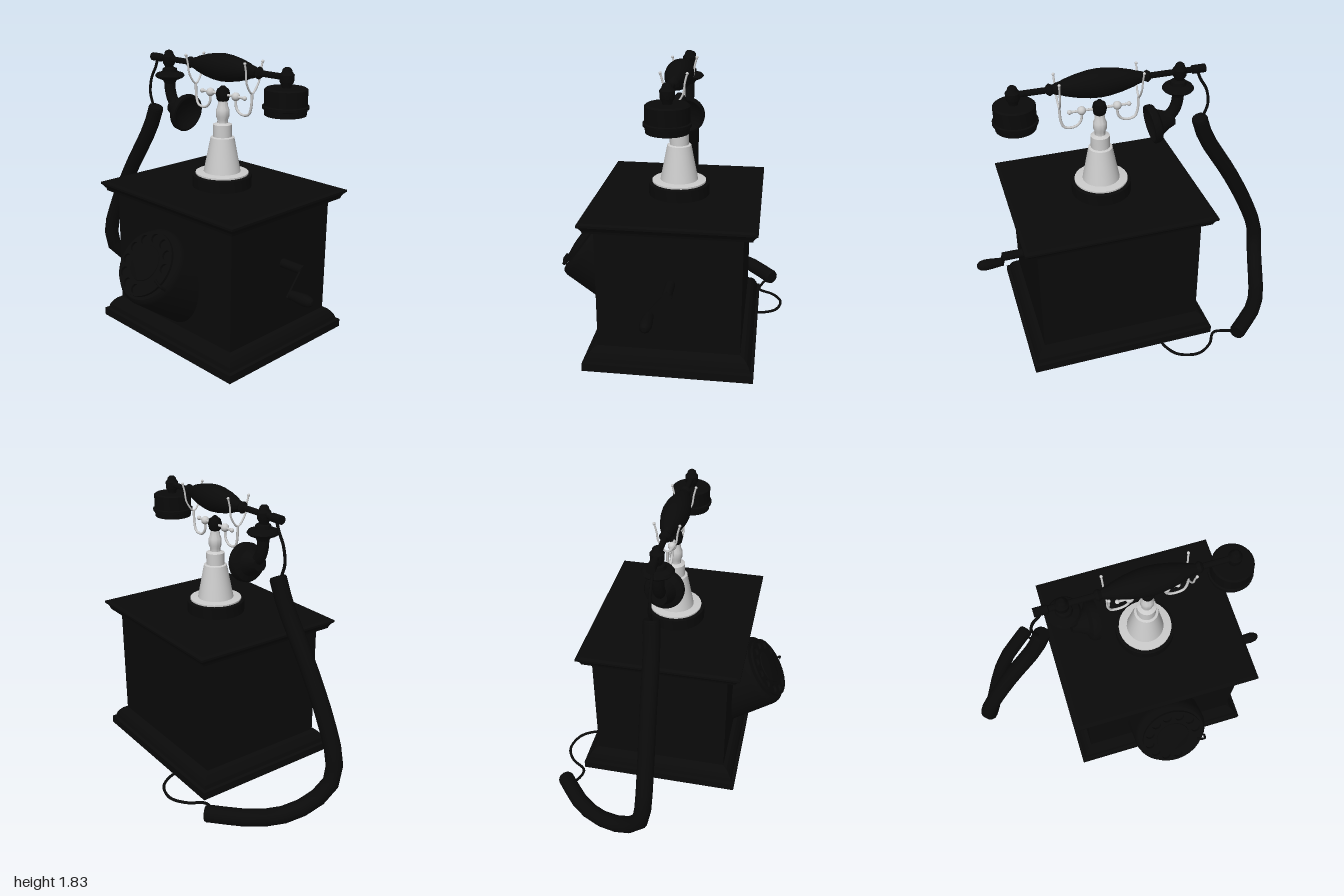
import * as THREE from 'three';
import { toCreasedNormals } from 'three/addons/utils/BufferGeometryUtils.js';

const black = new THREE.MeshStandardMaterial({ color: 0x0a0a0a });
const silver = new THREE.MeshStandardMaterial({ color: 0xcccccc });
const CX = 0.18, CZ = -0.04; // centre of the cabinet

export function createModel() {
  const root = new THREE.Group();
  root.name = 'antiqueTelephone';

  const add = (name, geo, mat = black, pos = [0, 0, 0], parent = root) => {
    const m = new THREE.Mesh(geo, mat);
    m.name = name;
    m.position.set(...pos);
    parent.add(m);
    return m;
  };
  // Turned part: pairs of [radius, height], bottom to top
  const turned = (pts, sides = 28) => toCreasedNormals(
    new THREE.LatheGeometry(pts.map(p => new THREE.Vector2(...p)), sides), 0.6);
  const tube = (pts, r, segs = 32, sides = 8) => new THREE.TubeGeometry(
    new THREE.CatmullRomCurve3(pts.map(p => new THREE.Vector3(...p))), segs, r, sides);
  const ball = r => new THREE.SphereGeometry(r, 16, 12);

  // Rectangular moulding: rows of [outward offset, height] around the cabinet plan
  const moulding = rows => {
    const hx = 0.505, hz = 0.425, v = [];
    const corner = ([o, y], k) => {
      const sx = [1, 1, -1, -1][k % 4], sz = [1, -1, -1, 1][k % 4];
      return [sx * (hx + o), y, sz * (hz + o)];
    };
    const quad = (a, b, c, d) => v.push(...a, ...b, ...c, ...a, ...c, ...d);
    for (let i = 0; i < rows.length - 1; i++)
      for (let k = 0; k < 4; k++)
        quad(corner(rows[i], k), corner(rows[i], k + 1), corner(rows[i + 1], k + 1), corner(rows[i + 1], k));
    const lo = rows[0], hi = rows[rows.length - 1];
    quad(corner(hi, 0), corner(hi, 1), corner(hi, 2), corner(hi, 3));
    quad(corner(lo, 3), corner(lo, 2), corner(lo, 1), corner(lo, 0));
    const g = new THREE.BufferGeometry();
    g.setAttribute('position', new THREE.Float32BufferAttribute(v, 3));
    g.computeVertexNormals();
    return g;
  };

  // Cabinet
  add('cabinetBody', moulding([[0, 0.18], [0, 0.97]]), black, [CX, 0, CZ]);
  add('baseMoulding', moulding([[0.083, 0.07], [0.083, 0.12], [0.065, 0.125], [0.058, 0.15],
    [0.043, 0.175], [0.025, 0.195], [0, 0.205]]), black, [CX, 0, CZ]);
  add('topMoulding', moulding([[0.01, 0.95], [0.052, 0.95], [0.056, 0.965], [0.07, 0.985],
    [0.08, 0.992], [0.08, 1.005], [0.06, 1.012]]), black, [CX, 0, CZ]);
  for (const x of [-0.28, 0.645])
    for (const z of [-0.405, 0.335])
      add('foot', new THREE.CylinderGeometry(0.031, 0.021, 0.08, 12), black, [x, 0.04, z]);

  // Pedestal
  add('pedestalPlinth', turned([[0, 1], [0.185, 1], [0.185, 1.085], [0.178, 1.09], [0, 1.09]], 32), black, [CX, 0, CZ]);
  add('pedestalColumn', turned([[0, 1.085], [0.165, 1.085], [0.165, 1.1], [0.115, 1.105], [0.073, 1.32],
    [0.058, 1.325], [0.058, 1.4], [0.033, 1.41], [0.033, 1.43], [0.041, 1.45], [0.041, 1.49],
    [0.032, 1.51], [0.028, 1.545], [0, 1.545]]), silver, [CX, 0, CZ]);
  add('pedestalHub', turned([[0, 1.535], [0.02, 1.535], [0.036, 1.55], [0.044, 1.585], [0.036, 1.615],
    [0.02, 1.625], [0.012, 1.635], [0, 1.637]], 16), black, [CX, 0, CZ]);

  // Cradle arms with forks, mirrored about the pedestal
  for (const s of [-1, 1]) {
    const arm = new THREE.Group();
    arm.name = 'cradleArm';
    arm.position.set(CX, 0, CZ);
    root.add(arm);
    add('armRod', tube([[s * 0.03, 1.583, 0], [s * 0.18, 1.583, 0]], 0.008, 2), silver, [0, 0, 0], arm);
    add('armBall', ball(0.026), silver, [s * 0.108, 1.583, 0], arm);
    add('armTip', ball(0.014), silver, [s * 0.18, 1.583, 0], arm);
    add('armHook', tube([[s * 0.108, 1.575, 0], [s * 0.113, 1.52, 0], [s * 0.14, 1.49, 0], [s * 0.18, 1.482, 0],
      [s * 0.217, 1.495, 0], [s * 0.234, 1.54, 0], [s * 0.239, 1.62, 0]], 0.008), silver, [0, 0, 0], arm);
    add('fork', tube([[s * 0.247, 1.8, -0.075], [s * 0.245, 1.75, -0.062], [s * 0.242, 1.68, -0.05],
      [s * 0.239, 1.62, 0], [s * 0.242, 1.68, 0.05], [s * 0.245, 1.75, 0.062], [s * 0.247, 1.8, 0.075]], 0.006, 40),
      silver, [0, 0, 0], arm);
    for (const z of [-0.075, 0.075]) add('forkTip', ball(0.009), silver, [s * 0.247, 1.8, z], arm);
  }

  // Handset
  const handset = new THREE.Group();
  handset.name = 'handset';
  handset.position.set(0, 1.745, CZ);
  root.add(handset);
  const half = [[0.018, 0.50], [0.018, 0.31], [0.026, 0.305], [0.036, 0.29], [0.026, 0.27], [0.033, 0.255],
    [0.04, 0.225], [0.05, 0.2], [0.068, 0.13], [0.08, 0.06]];
  const grip = turned([[0, -0.5], ...half.map(([r, y]) => [r, -y]), [0.084, 0],
    ...half.slice().reverse(), [0, 0.5]]);
  add('handsetGrip', grip.rotateZ(-Math.PI / 2), black, [CX, 0, 0], handset);
  const socket = turned([[0, -0.47], [0.026, -0.47], [0.026, -0.39], [0.018, -0.385], [0.018, -0.3], [0, -0.3]], 14);
  add('cordSocket', socket.rotateZ(-Math.PI / 2), black, [0, 0, 0], handset);
  const joint = () => turned([[0, -0.065], [0.026, -0.065], [0.028, -0.045], [0.04, -0.025], [0.042, 0.015],
    [0.03, 0.03], [0.026, 0.045], [0.015, 0.055], [0, 0.055]], 16);
  add('mouthpieceJoint', joint(), black, [-0.312, 0, 0], handset);
  add('earpieceJoint', joint(), black, [0.677, 0, 0], handset);
  add('earpiece', turned([[0, -0.195], [0.05, -0.195], [0.085, -0.21], [0.118, -0.21], [0.122, -0.175],
    [0.132, -0.172], [0.132, -0.157], [0.122, -0.153], [0.122, -0.065], [0.112, -0.057], [0, -0.057]], 32),
    black, [0.675, 0, 0], handset);
  add('mouthpieceFlange', turned([[0, -0.16], [0.035, -0.155], [0.045, -0.135], [0.085, -0.118], [0.096, -0.105],
    [0.085, -0.09], [0.05, -0.08], [0.045, -0.06], [0.025, -0.05], [0, -0.05]]), black, [-0.305, 0, 0], handset);
  add('mouthpieceElbow', tube([[-0.308, -0.12, 0], [-0.302, -0.2, 0], [-0.277, -0.26, 0], [-0.22, -0.31, 0]], 0.036, 14, 14),
    black, [0, 0, 0], handset);
  const horn = turned([[0, -0.15], [0.045, -0.15], [0.06, -0.1], [0.08, -0.06], [0.112, -0.045], [0.12, -0.03],
    [0.12, 0], [0.108, 0.003], [0.085, -0.02], [0.05, -0.04], [0, -0.045]], 32);
  add('mouthpieceHorn', horn.rotateZ(-Math.PI / 2 - 0.17), black, [-0.133, -0.328, 0], handset);

  // Dial housing, tilted up towards the user
  const dial = new THREE.Group();
  dial.name = 'dial';
  dial.position.set(0.185, 0.65, 0.57);
  dial.rotation.x = 0.94;
  root.add(dial);
  add('dialHousing', turned([[0, -0.45], [0.237, -0.45], [0.237, -0.035], [0.23, -0.01], [0.215, 0.004],
    [0, 0.012]], 40), black, [0, 0, 0], dial);
  const plate = new THREE.Shape().absarc(0, 0, 0.2, 0, Math.PI * 2);
  for (let i = 0; i < 10; i++) {
    const a = 0.1 + i * Math.PI / 6;
    plate.holes.push(new THREE.Path().absarc(0.158 * Math.cos(a), 0.158 * Math.sin(a), 0.028, 0, Math.PI * 2, true));
  }
  const plateGeo = new THREE.ExtrudeGeometry(plate, { depth: 0.016, bevelEnabled: false, curveSegments: 20 });
  add('fingerWheel', plateGeo.rotateX(-Math.PI / 2), black, [0, 0.016, 0], dial);
  add('dialCentre', turned([[0.11, 0], [0.108, 0.006], [0.06, 0.013], [0, 0.015]]), black, [0, 0.032, 0], dial);
  add('fingerStop', tube([[0.215, 0, 0.09], [0.205, 0.04, 0.085], [0.15, 0.045, 0.065]], 0.008, 8, 6),
    black, [0, 0, 0], dial);

  // Side crank
  const rod = (name, r, len, x, y, z) =>
    add(name, new THREE.CylinderGeometry(r, r, len, 16).rotateZ(Math.PI / 2), black, [x, y, z]);
  rod('crankShaft', 0.028, 0.16, 0.76, 0.637, -0.055);
  const crankArm = add('crankArm', new THREE.BoxGeometry(0.012, 0.21, 0.045), black, [0.836, 0.574, -0.005]);
  crankArm.rotation.x = -0.65 + Math.PI;
  crankArm.rotation.x = Math.atan2(-0.1, 0.122);
  const knob = turned([[0, 0], [0.027, 0], [0.03, 0.03], [0.034, 0.07], [0.036, 0.11], [0.03, 0.142], [0.015, 0.16], [0, 0.163]], 16);
  add('crankKnob', knob.rotateZ(-Math.PI / 2), black, [0.837, 0.515, 0.045]);

  // Cord: thick sleeve with thin wire at both ends
  const sleeve = [[-0.455, 1.405, -0.045], [-0.51, 1.26, -0.035], [-0.71, 0.93, -0.015], [-0.87, 0.62, 0],
    [-0.945, 0.42, 0], [-0.949, 0.29, -0.02], [-0.915, 0.18, -0.13], [-0.85, 0.12, -0.3],
    [-0.76, 0.112, -0.45], [-0.56, 0.103, -0.63]];
  add('cordSleeve', tube(sleeve, 0.051, 18, 12));
  for (const [end, next] of [[sleeve[0], sleeve[1]], [sleeve[9], sleeve[8]]]) {
    const dir = new THREE.Vector3(...end).sub(new THREE.Vector3(...next)).normalize();
    const cap = add('sleeveCap', new THREE.CylinderGeometry(0.046, 0.052, 0.02, 12), black, end);
    cap.quaternion.setFromUnitVectors(new THREE.Vector3(0, 1, 0), dir);
  }
  add('upperWire', tube([[-0.425, 1.73, CZ], [-0.445, 1.68, CZ], [-0.49, 1.6, CZ], [-0.505, 1.5, CZ],
    [-0.475, 1.41, CZ], [-0.47, 1.36, CZ]], 0.009));
  add('lowerWire', tube([[-0.58, 0.085, -0.61], [-0.52, 0.063, -0.565], [-0.43, 0.063, -0.55], [-0.36, 0.067, -0.645],
    [-0.26, 0.068, -0.7], [-0.13, 0.07, -0.665], [-0.07, 0.075, -0.57], [-0.062, 0.08, -0.5]], 0.009, 40));

  return root;
}
